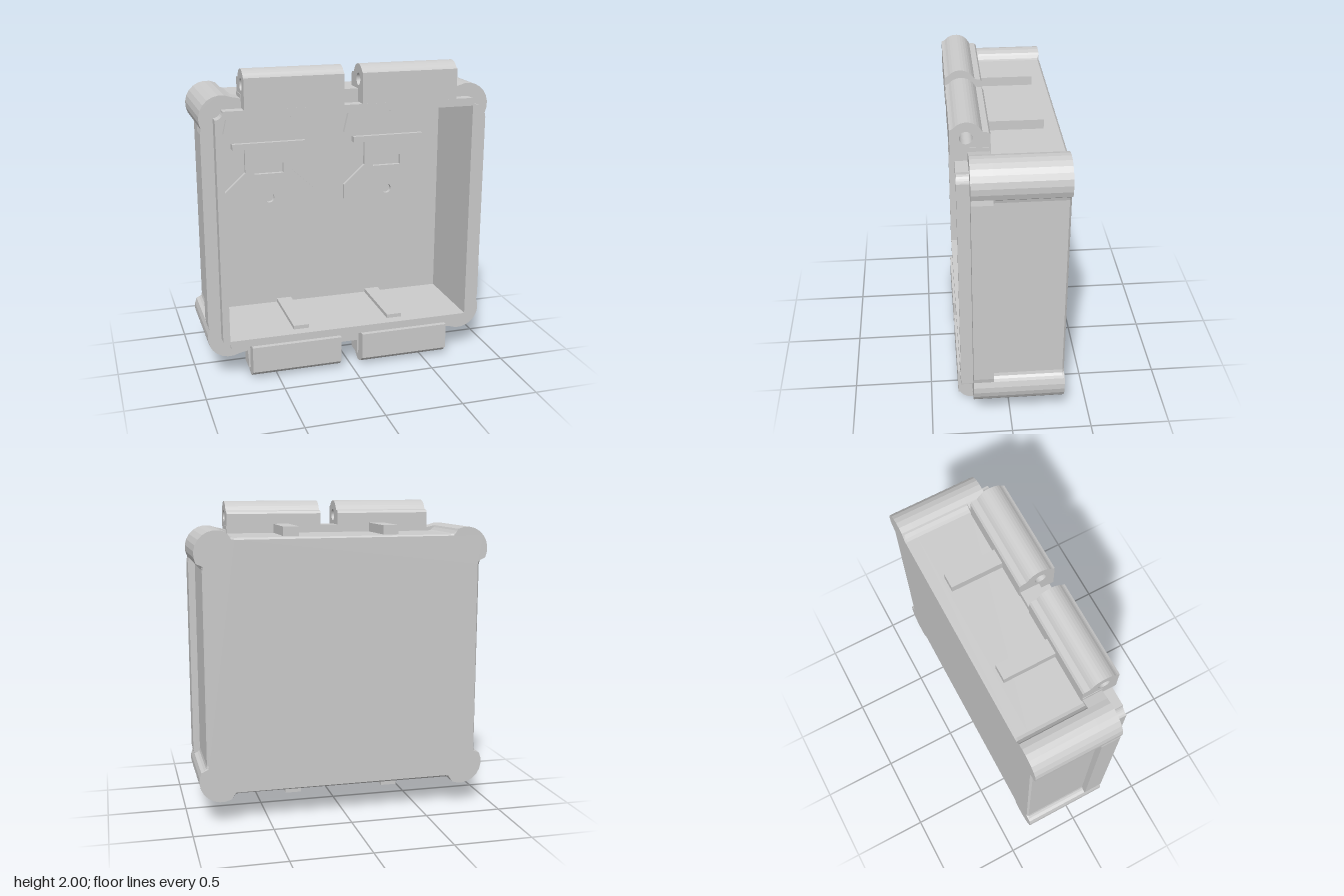
import * as THREE from 'three';

const CY = 0.995; // height of the box centre
const material = new THREE.MeshStandardMaterial({ color: 0xcccccc });
const V = (x, y) => new THREE.Vector2(x, y);
const shapeOf = (pts) => new THREE.Shape(pts.map(([x, y]) => V(x, y)));

// Points on a circle between two angles in degrees
function arc(cx, cy, r, from, to, n) {
  return Array.from({ length: n + 1 }, (_, i) => {
    const a = THREE.MathUtils.degToRad(from + (to - from) * i / n);
    return [cx + r * Math.cos(a), cy + r * Math.sin(a)];
  });
}

// Mirrors one corner (ordered top to side) into a closed outline
function fourCorners(q) {
  const r = [...q].reverse();
  return shapeOf([
    ...q,
    ...r.map(([x, y]) => [x, -y]),
    ...q.map(([x, y]) => [-x, -y]),
    ...r.map(([x, y]) => [-x, y]),
  ].map(([x, y]) => [x, y + CY]).reverse());
}

export function createModel() {
  const group = new THREE.Group();
  const add = (name, geometry) => {
    const mesh = new THREE.Mesh(geometry, material);
    mesh.name = name;
    group.add(mesh);
    return mesh;
  };
  const slab = (name, shape, z0, z1) => add(name,
    new THREE.ExtrudeGeometry(shape, { depth: z1 - z0, bevelEnabled: false, curveSegments: 20 }).translate(0, 0, z0));
  const box = (name, x0, x1, y0, y1, z0, z1) => add(name,
    new THREE.BoxGeometry(x1 - x0, y1 - y0, z1 - z0).translate((x0 + x1) / 2, (y0 + y1) / 2, (z0 + z1) / 2));
  // Profile given as (z, y), run along x
  const bar = (name, shape, x0, x1) => add(name,
    new THREE.ExtrudeGeometry(shape, { depth: x1 - x0, bevelEnabled: false, curveSegments: 20 })
      .rotateY(-Math.PI / 2).translate(x1, 0, 0));

  // Box shell with rounded corner posts and recessed sides
  const post = arc(0.797, 0.71, 0.14, 115, -25, 9);
  const shellOutline = () => fourCorners([
    [0.69, 0.802], [0.71, 0.807], [0.73, 0.825], ...post,
    [0.905, 0.643], [0.892, 0.63], [0.887, 0.61],
  ]);
  const rimOutline = () => fourCorners([[0.68, 0.85], [0.68, 0.825], ...post, [0.93, 0.62]]);
  const lipOutline = () => fourCorners(arc(0.85, 0.765, 0.05, 180, 270, 6));
  const cavity = () => new THREE.Path(
    [[-0.805, -0.715], [-0.805, 0.715], [0.805, 0.715], [0.805, -0.715]].map(([x, y]) => V(x, y + CY)));
  const hollow = (shape) => { shape.holes.push(cavity()); return shape; };

  slab('backPanel', shellOutline(), -0.318, -0.25);
  slab('walls', hollow(shellOutline()), -0.25, 0.11);
  slab('rim', hollow(rimOutline()), 0.11, 0.235);
  slab('lip', hollow(lipOutline()), 0.235, 0.31);

  // Back edge, eased along the recessed sides only
  const backEdge = slab('backEdge', shellOutline(), -0.33, -0.318).geometry;
  const p = backEdge.attributes.position;
  for (let i = 0; i < p.count; i++) {
    if (p.getZ(i) > -0.325) continue;
    const x = p.getX(i), y = p.getY(i) - CY;
    if (Math.abs(x) < 0.72) p.setY(i, CY + y - 0.012 * Math.sign(y));
    else if (Math.abs(y) < 0.635) p.setX(i, x - 0.012 * Math.sign(x));
  }
  backEdge.computeVertexNormals();

  for (const side of [-1, 1]) {
    const span = (a, b) => side > 0 ? [a, b] : [-b, -a];

    // Hinge barrel on the top edge
    const hinge = shapeOf([
      [0.335, 1.765], [0.335, 1.955], [0.322, 1.96],
      ...arc(0.24, 1.905, 0.095, 40, 150, 10),
      [0.15, 1.94], [0.115, 1.935], [0.105, 1.92], [0.105, 1.79], [0.235, 1.79], [0.235, 1.765],
    ]);
    hinge.holes.push(new THREE.Path().absarc(0.243, 1.905, 0.038, 0, Math.PI * 2, true));
    bar('hinge', hinge, ...span(0.058, 0.677));

    // Latch catch on the bottom edge, with its backing block
    bar('latch', shapeOf([
      [0.325, 0.222], [0.235, 0.222], [0.235, 0.16], [0.15, 0.16], [0.15, 0.05],
      ...arc(0.235, 0.09, 0.088, 210, 330, 10), [0.325, 0.05],
    ].reverse()), ...span(0.072, 0.665));
    bar('latchBlock', shapeOf([
      [0.235, 0.16], [0.12, 0.16], [0.12, 0.06], [0.13, 0.05], [0.235, 0.05],
    ]), ...span(0.062, 0.677));

    // Ribs on the outer and inner faces of top and bottom walls
    const [r0, r1] = span(0.272, 0.373);
    box('topOuterRib', r0, r1, 1.77, 1.855, -0.23, 0.11);
    box('bottomOuterRib', r0, r1, 0.138, 0.22, -0.23, 0.11);
    box('topInnerRib', r0, r1, 1.69, 1.73, -0.25, 0.24);
    box('bottomInnerRib', r0, r1, 0.27, 0.305, -0.25, 0.24);

    // Bracket plates on the inside of the back panel
    const cx = side * 0.416;
    const mirrored = (half) => shapeOf([
      ...half.map(([x, y]) => [cx + x, y]),
      ...[...half].reverse().map(([x, y]) => [cx - x, y]),
    ]);
    const plate = mirrored([[0.307, 1.0], [0.307, 1.1], [0.16, 1.235], [0.16, 1.39], [0.18, 1.41]]);
    plate.holes.push(
      new THREE.Path([V(cx - 0.1, 1.22), V(cx - 0.1, 1.29), V(cx + 0.1, 1.29), V(cx + 0.1, 1.22)]),
      new THREE.Path().absarc(cx, 1.052, 0.033, 0, Math.PI * 2, true));
    slab('lowerBracketPlate', plate, -0.25, -0.22);
    slab('upperBracketPlate', mirrored([[0.245, 1.435], [0.307, 1.47], [0.25, 1.715]]), -0.25, -0.22);
    box('bracketShelf', cx - 0.247, cx + 0.247, 1.4, 1.44, -0.25, -0.19);
  }
  return group;
}
